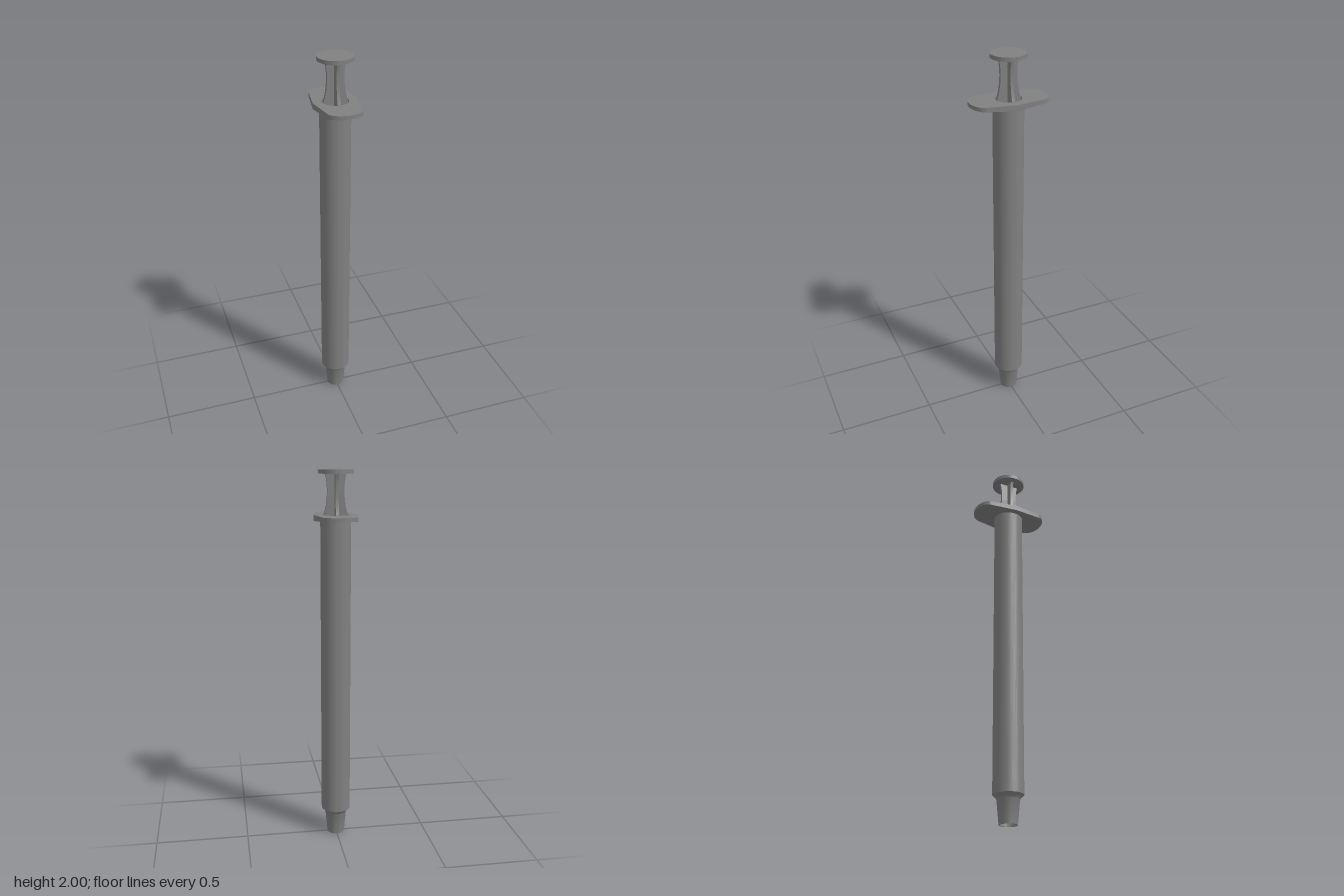
import * as THREE from 'three';
import { toCreasedNormals } from 'three/addons/utils/BufferGeometryUtils.js';

const SEGMENTS = 64;

export function createModel() {
  const model = new THREE.Group();
  model.name = 'syringe';
  const greyPlastic = new THREE.MeshStandardMaterial({ color: 0x808080 });
  greyPlastic.name = 'greyPlastic';

  const add = (name, geometry, parent = model) => {
    const mesh = new THREE.Mesh(toCreasedNormals(geometry, 0.5), greyPlastic);
    mesh.name = name;
    parent.add(mesh);
    return mesh;
  };
  const lathe = (points) =>
    new THREE.LatheGeometry(points.map(([r, y]) => new THREE.Vector2(r, y)), SEGMENTS);

  // Hollow barrel with an open tapered nozzle: down the inside, up the outside
  add('barrel', lathe([
    [0.068, 1.76], [0.068, 0.165], [0.05, 0.125], [0.042, 0],
    [0.047, 0], [0.058, 0.12], [0.063, 0.132], [0.079, 0.147],
    [0.079, 1.76], [0.068, 1.76],
  ]));

  // Finger flange: rounded ends, pointed sides, underside thinning outward
  const outline = new THREE.Shape();
  outline.moveTo(0.114, 0);
  outline.lineTo(0.09, 0.148);
  outline.absellipse(0, 0.144, 0.0905, 0.06, 0.04, Math.PI - 0.04, false);
  outline.lineTo(-0.114, 0);
  outline.lineTo(-0.09, -0.148);
  outline.absellipse(0, -0.144, 0.0905, 0.06, Math.PI + 0.04, 2 * Math.PI - 0.04, false);
  outline.closePath();
  const hole = new THREE.Path();
  hole.absarc(0, 0, 0.068, 0, Math.PI * 2, true);
  outline.holes.push(hole);
  const flange = new THREE.ExtrudeGeometry(outline, {
    depth: 0.03, bevelEnabled: false, curveSegments: 32,
  });
  flange.rotateX(-Math.PI / 2).translate(0, 1.745, 0);
  const pos = flange.attributes.position;
  for (let i = 0; i < pos.count; i++) {
    if (pos.getY(i) < 1.76) pos.setY(i, 1.745 + 0.05 * Math.abs(pos.getZ(i)));
  }
  flange.computeVertexNormals();
  add('fingerFlange', flange);

  // Plunger: two crossed ribs with a waisted top, a thumb disc and a piston
  const plunger = new THREE.Group();
  plunger.name = 'plunger';
  model.add(plunger);

  const rib = new THREE.Shape();
  rib.moveTo(-0.064, 0.19);
  rib.lineTo(0.064, 0.19);
  rib.lineTo(0.064, 1.77);
  rib.bezierCurveTo(0.038, 1.84, 0.04, 1.93, 0.054, 1.982);
  rib.lineTo(-0.054, 1.982);
  rib.bezierCurveTo(-0.04, 1.93, -0.038, 1.84, -0.064, 1.77);
  rib.closePath();
  const thickness = 0.016;
  for (const [name, angle] of [['sideRib', 0], ['frontRib', Math.PI / 2]]) {
    const geometry = new THREE.ExtrudeGeometry(rib, {
      depth: thickness, bevelEnabled: false, curveSegments: 16,
    });
    geometry.translate(0, 0, -thickness / 2).rotateY(angle);
    add(name, geometry, plunger);
  }

  add('thumbDisc', new THREE.CylinderGeometry(0.09, 0.09, 0.02, SEGMENTS)
    .translate(0, 1.99, 0), plunger);
  add('piston', lathe([
    [0, 0.15], [0.048, 0.165], [0.067, 0.185], [0.067, 0.22], [0, 0.22],
  ]), plunger);

  return model;
}
